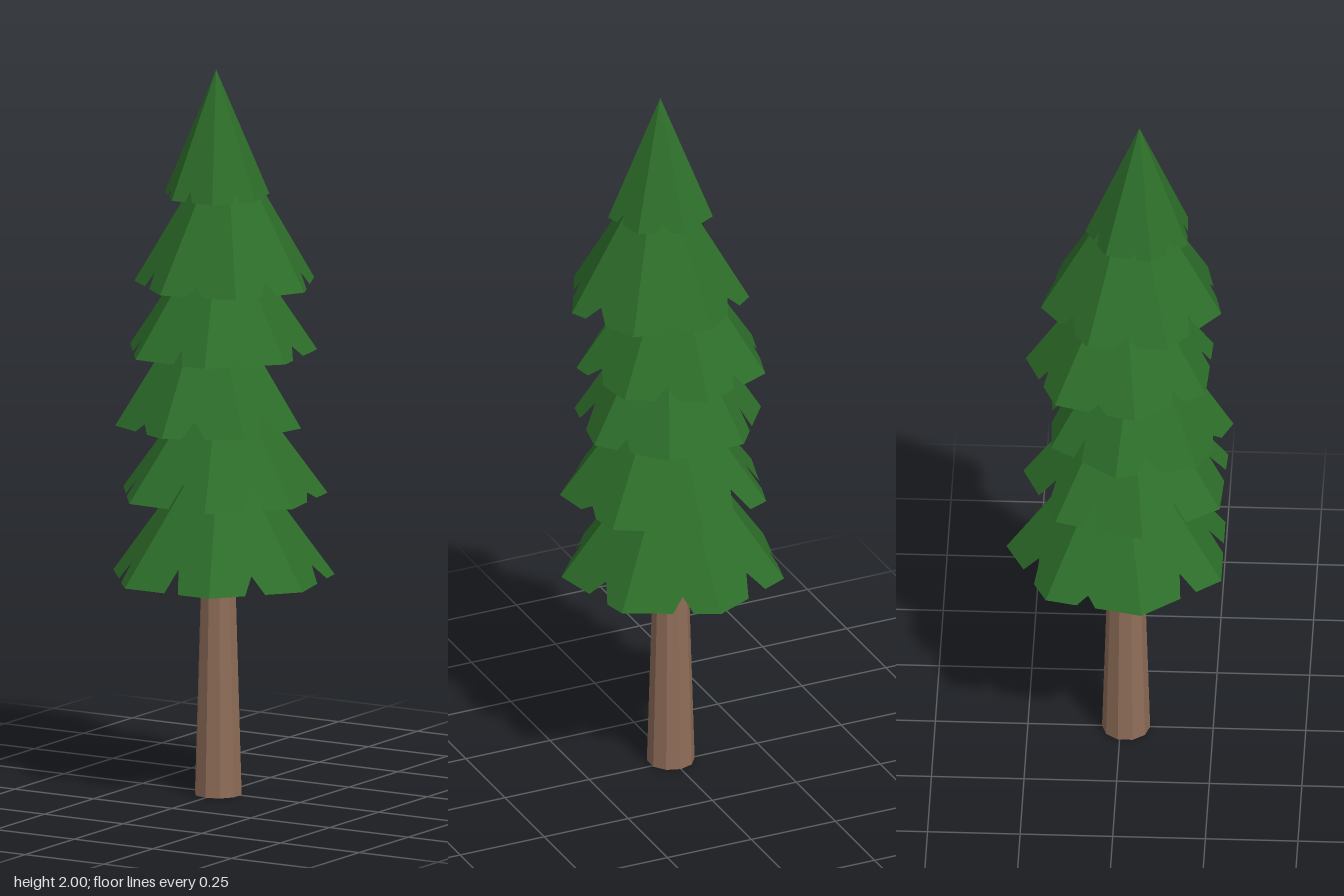
import * as THREE from 'three';

const needles = new THREE.MeshStandardMaterial({ color: 0x2d6e2a, flatShading: true, side: THREE.DoubleSide });
const bark = new THREE.MeshStandardMaterial({ color: 0x8f6d58, flatShading: true });

// Small seeded generator for the irregular cuts in the branches
let seed = 11;
const rand = (lo, hi) => {
  seed = (seed * 16807) % 2147483647;
  return lo + (hi - lo) * (seed / 2147483647);
};

const SIDES = 7;

// Open seven-sided cone with a wedge cut into the lower edge of every panel.
// turn: degrees of the first tip, clockwise from the back.
function branchTier({ x, z, base, top, r, turn, cut }) {
  const apex = new THREE.Vector3(x, top, z);
  const tip = i => {
    const a = THREE.MathUtils.degToRad(turn + (i * 360) / SIDES);
    return new THREE.Vector3(x + r * Math.sin(a), base, z - r * Math.cos(a));
  };
  const positions = [];
  for (let i = 0; i < SIDES; i++) {
    const a = tip(i), b = tip(i + 1);
    const mid = rand(0.38, 0.62), half = rand(0.06, 0.16);
    const notch = a.clone().lerp(b, mid).lerp(apex, rand(0.05, cut));
    const rim = [a, a.clone().lerp(b, mid - half), notch, a.clone().lerp(b, mid + half), b];
    for (let k = 0; k < rim.length - 1; k++) {
      for (const p of [apex, rim[k + 1], rim[k]]) positions.push(p.x, p.y, p.z);
    }
  }
  const geometry = new THREE.BufferGeometry();
  geometry.setAttribute('position', new THREE.Float32BufferAttribute(positions, 3));
  geometry.computeVertexNormals();
  return new THREE.Mesh(geometry, needles);
}

export function createModel() {
  const tree = new THREE.Group();
  tree.name = 'pineTree';

  // Tapered trunk, running up inside the lowest branches
  const trunk = new THREE.Mesh(new THREE.CylinderGeometry(0.04, 0.065, 0.85, 10, 1, true), bark);
  trunk.position.set(0, 0.425, 0.015);
  trunk.name = 'trunk';
  tree.add(trunk);

  // Dark green underside of the trunk
  const trunkBase = new THREE.Mesh(new THREE.CircleGeometry(0.065, 10), needles);
  trunkBase.rotation.set(Math.PI / 2, 0, Math.PI / 2);
  trunkBase.position.set(0, 0, 0.015);
  trunkBase.name = 'trunkBase';
  tree.add(trunkBase);

  // Branch tiers from bottom to top
  const tiers = [
    { x: 0, z: 0, base: 0.595, top: 1.02, r: 0.308, turn: 0, cut: 0.18 },
    { x: 0.015, z: 0.022, base: 0.828, top: 1.22, r: 0.286, turn: 3, cut: 0.18 },
    { x: -0.007, z: 0.047, base: 1.025, top: 1.44, r: 0.258, turn: 24, cut: 0.18 },
    { x: 0, z: 0.005, base: 1.218, top: 1.61, r: 0.262, turn: 3, cut: 0.12 },
    { x: 0.035, z: 0.03, base: 1.412, top: 1.84, r: 0.25, turn: -12, cut: 0.1 },
    { x: 0.015, z: 0.05, base: 1.655, top: 2.0, r: 0.145, turn: -2, cut: 0.1 },
  ];
  tiers.forEach((t, i) => {
    const tier = branchTier(t);
    tier.name = i === tiers.length - 1 ? 'treeTop' : `branchTier${i + 1}`;
    tree.add(tier);
  });

  return tree;
}
